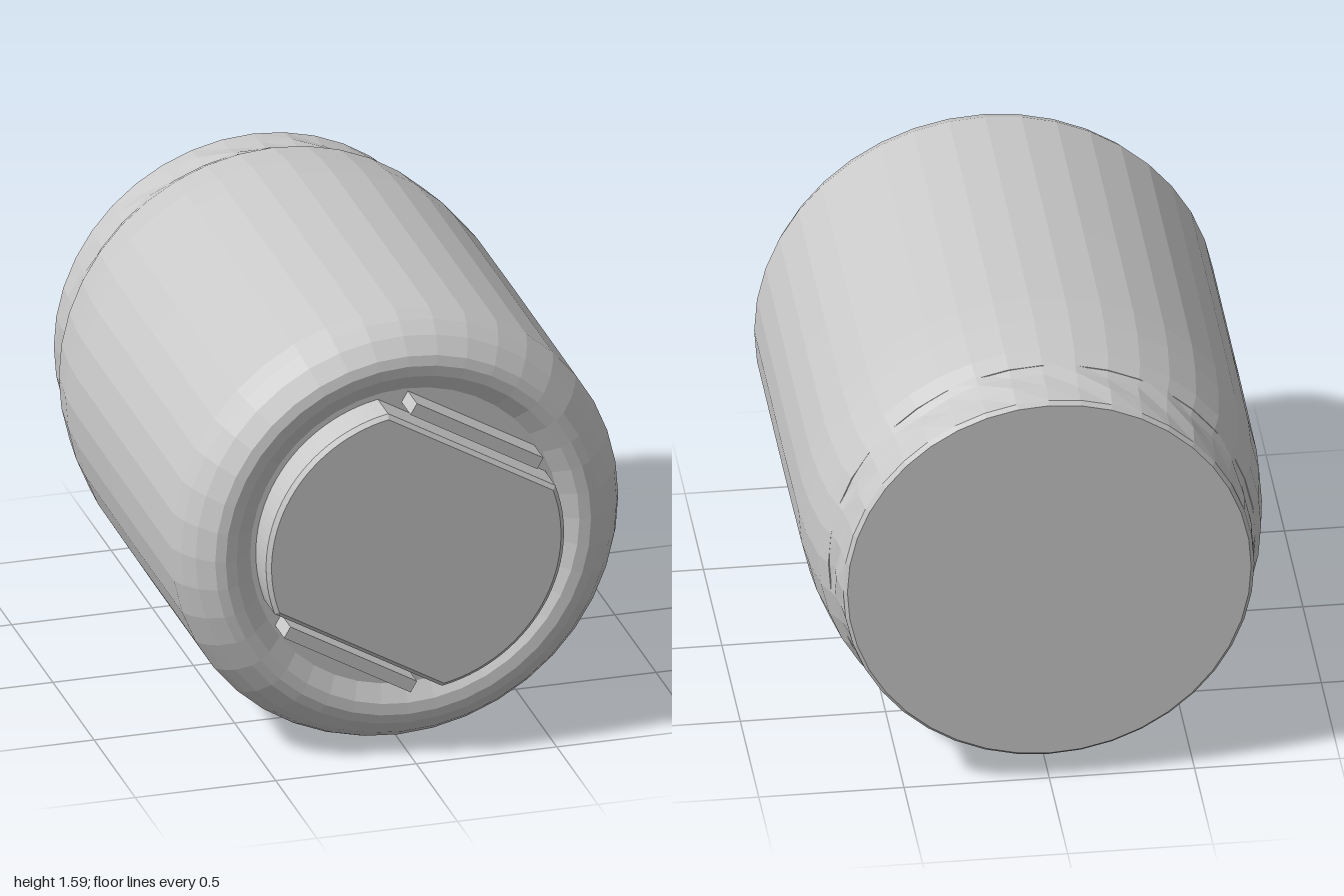
import * as THREE from 'three';

const RADIUS = 0.795;
const deg = THREE.MathUtils.degToRad;

export function createModel() {
  const grey = new THREE.MeshStandardMaterial({ color: 0xc9c9c9, flatShading: true });
  grey.name = 'light grey';
  const model = new THREE.Group();
  model.name = 'canister';

  const add = (geometry, name) => {
    const mesh = new THREE.Mesh(geometry, grey);
    mesh.name = name;
    mesh.position.y = RADIUS;
    model.add(mesh);
    return mesh;
  };
  // Profiles are [radius, z] pairs, running from back to front
  const turned = (profile, name) => {
    const geometry = new THREE.LatheGeometry(profile.map(([r, z]) => new THREE.Vector2(r, z)), 40);
    geometry.rotateX(Math.PI / 2);
    return add(geometry, name);
  };

  // Body with tapered back, chamfered front and a groove round the knob
  turned([
    [0.7, -0.8], [0.735, -0.8], [0.762, -0.74], [0.785, -0.58], [0.793, -0.45], [RADIUS, 0],
    [RADIUS, 0.74], [0.775, 0.79], [0.74, 0.845], [0.685, 0.895], [0.65, 0.905],
    [0.61, 0.9], [0.55, 0.86], [0, 0.86],
  ], 'body');

  // Narrower collar, closed by the flat back
  const collar = turned([
    [0, -1], [0.695, -1], [0.708, -0.985], [0.715, -0.9], [0.722, -0.83], [0.742, -0.78],
  ], 'backCollar');
  // Slightly uneven rim
  const p = collar.geometry.attributes.position;
  for (let i = 0; i < p.count; i++) {
    const x = p.getX(i), y = p.getY(i), z = p.getZ(i);
    if (z > -0.95 && z < -0.8) {
      const s = 1 + 0.008 * Math.sin(13 * Math.atan2(y, x) + z * 40);
      p.setXY(i, x * s, y * s);
    }
  }

  // Round knob with two flats cut on opposite sides
  const bevel = 0.015, r = 0.53 - bevel;
  const outline = new THREE.Shape();
  outline.absarc(0, 0, r, deg(101), deg(199), false);
  outline.absarc(0, 0, r, deg(281), deg(379), false);
  outline.closePath();
  const knob = new THREE.ExtrudeGeometry(outline, {
    depth: 0.13, curveSegments: 14, bevelEnabled: true,
    bevelSize: bevel, bevelThickness: bevel, bevelSegments: 1,
  });
  knob.translate(0, 0, 1 - bevel - 0.13);
  add(knob, 'knob');

  // Raised lip alongside each flat, leaving a narrow slot
  for (const angle of [60, 240]) {
    const lip = new THREE.BoxGeometry(0.045, 0.52, 0.13);
    lip.translate(0.45, 0, 0.905);
    lip.rotateZ(deg(angle));
    add(lip, 'knobLip');
  }
  return model;
}
